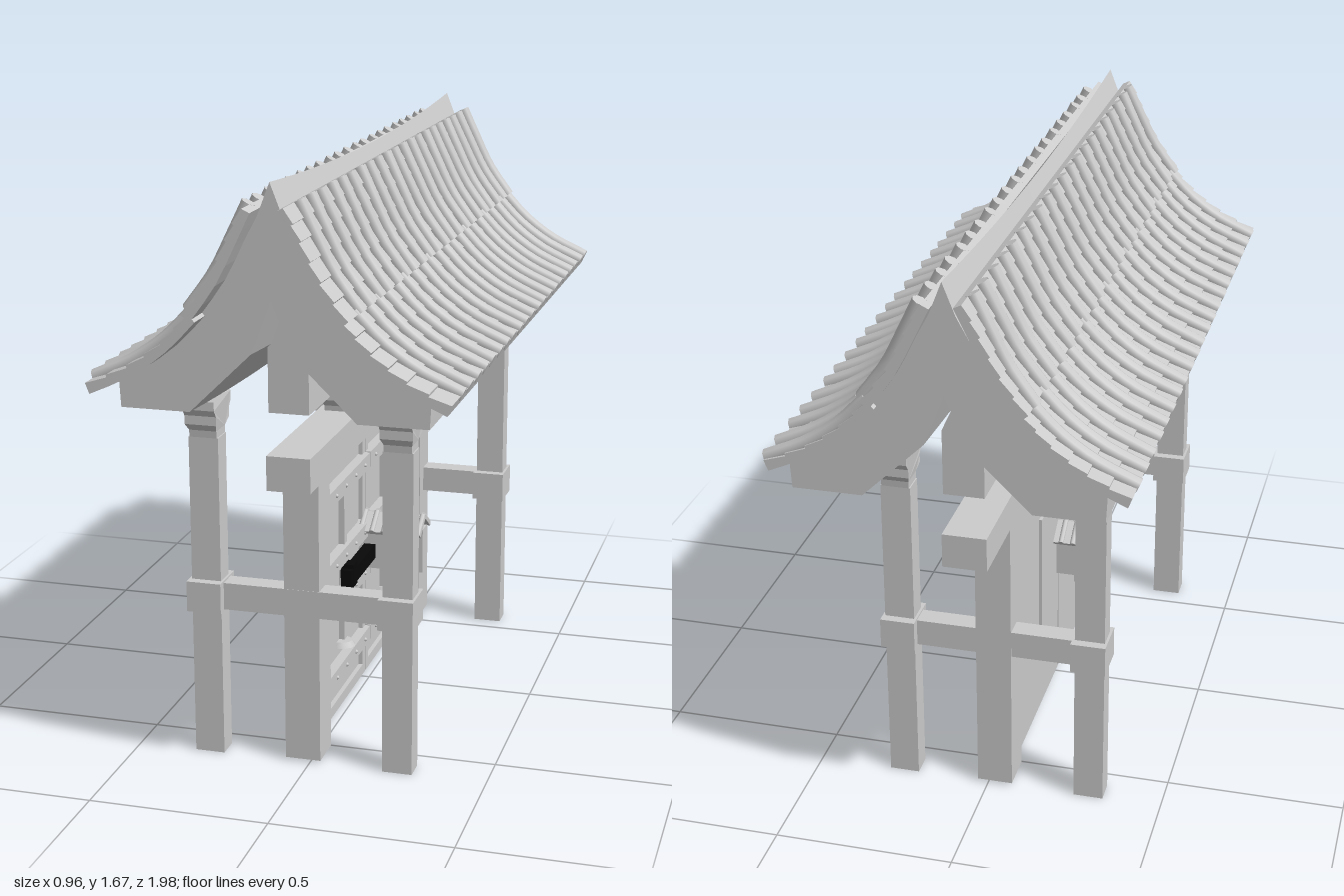
import * as THREE from 'three';

export function createModel() {
  const root = new THREE.Group();
  const grey = new THREE.MeshStandardMaterial({ color: 0xcccccc });
  grey.name = 'pale grey';
  grey.side = THREE.DoubleSide;
  const black = new THREE.MeshStandardMaterial({ color: 0x080808 });
  black.name = 'iron black';

  const add = (name, geo, mat = grey, parent = root) => {
    const m = new THREE.Mesh(geo, mat);
    m.name = name;
    parent.add(m);
    return m;
  };
  // Box given by its limits on each axis
  const box = (name, [x0, x1], [y0, y1], [z0, z1], mat = grey) => {
    const m = add(name, new THREE.BoxGeometry(x1 - x0, y1 - y0, z1 - z0), mat);
    m.position.set((x0 + x1) / 2, (y0 + y1) / 2, (z0 + z1) / 2);
    return m;
  };
  const shape = pts => new THREE.Shape(pts.map(p => new THREE.Vector2(p[0], p[1])));
  const mirrored = pts => [...pts, ...pts.slice().reverse().filter(p => p[0] !== 0).map(([x, y]) => [-x, y])];
  const extrude = (pts, z0, z1, steps = 1) => {
    const g = new THREE.ExtrudeGeometry(shape(pts), { depth: z1 - z0, steps, bevelEnabled: false });
    return g.translate(0, 0, z0);
  };

  // Gabled roof body, sagging towards the middle of its length; the outer lower edges stay straight
  const body = extrude(mirrored([
    [0, 1.67], [0.033, 1.585], [0.098, 1.465], [0.158, 1.375], [0.226, 1.295], [0.31, 1.225], [0.41, 1.17],
    [0.405, 1.075], [0.34, 1.075], [0.22, 1.075], [0.055, 1.235], [0, 1.375],
  ]), -0.97, 0.915, 16);
  const pos = body.attributes.position;
  for (let i = 0; i < pos.count; i++) {
    const t = (pos.getZ(i) + 0.027) / 0.943;
    const edge = Math.abs(pos.getX(i)) > 0.38 && pos.getY(i) < 1.1;
    if (!edge) pos.setY(i, pos.getY(i) - 0.033 * (1 - t * t));
  }
  body.computeVertexNormals();
  add('roofBody', body);

  // Tiled slopes: an upper and a lower course on each side
  const courses = [
    [[0.054, 1.618], [0.094, 1.535], [0.144, 1.437], [0.212, 1.343]],
    [[0.195, 1.348], [0.27, 1.27], [0.36, 1.205], [0.472, 1.152]],
  ];
  for (const side of [1, -1]) {
    const slope = new THREE.Group();
    slope.name = side > 0 ? 'leftTiles' : 'rightTiles';
    root.add(slope);
    const z0 = side > 0 ? -0.99 : -0.97, z1 = side > 0 ? 0.96 : 0.99;
    courses.forEach((pts, c) => {
      const curve = new THREE.CatmullRomCurve3(pts.map(([x, y]) => new THREE.Vector3(side * x, y, 0)));
      // Stepped sheet of flat tiles
      const outer = [], inner = [], rows = 6;
      const at = (t, d) => {
        const p = curve.getPoint(t), q = curve.getTangent(t);
        return [p.x - side * q.y * d, p.y + side * q.x * d];
      };
      for (let i = 0; i < rows; i++) {
        outer.push(at(i / rows, -0.007), at((i + 1) / rows - 0.005, 0));
      }
      for (let i = rows; i >= 0; i--) inner.push(at(i / rows, -0.03));
      add('flatTiles', extrude([...outer, ...inner], z0, z1), grey, slope);
      // Round tiles with closed ends
      for (let i = 0; i < 21; i++) {
        const z = (side > 0 ? -0.965 : -0.9) + i * 0.0908;
        const wob = 0.006 * Math.sin(i * 2.3 + c * 1.7 + side);
        const path = new THREE.CatmullRomCurve3(pts.map(([x, y], k) =>
          new THREE.Vector3(side * x, y, z + wob * (k - 1.5) / 1.5)));
        add('roundTile', new THREE.TubeGeometry(path, 9, 0.02, 8), grey, slope);
        for (const t of [0, 1]) {
          const cap = add('roundTileEnd', new THREE.CircleGeometry(0.02, 8), grey, slope);
          const p = path.getPoint(t);
          cap.position.copy(p);
          cap.lookAt(p.clone().addScaledVector(path.getTangent(t), t ? 1 : -1));
        }
      }
    });
  }

  // Ridge beam beneath the roof and lintel above the doors
  add('ridgeBeam', extrude(mirrored([[0, 1.34], [0.055, 1.22], [0.055, 1.04]]), -0.85, 0.75))
    .position.x = -0.01;
  box('lintel', [-0.07, 0.05], [0.83, 0.925], [-0.855, 0.76]);

  // Square flared bracket: wide along the gate, only slightly flared across it
  const bracketGeo = extrude(mirrored([
    [0.033, 0.92], [0.035, 0.94], [0.052, 0.96], [0.052, 0.985], [0.068, 1.005], [0.068, 1.03], [0.058, 1.042],
  ]), -0.045, 0.045).rotateY(Math.PI / 2);
  const bp = bracketGeo.attributes.position;
  for (let i = 0; i < bp.count; i++) {
    const y = bp.getY(i);
    if (y < 0.95 || y > 1.035) bp.setX(i, bp.getX(i) * 0.86);
  }
  bracketGeo.computeVertexNormals();
  const bracket = (x, z) => add('bracket', bracketGeo).position.set(x, 0, z);
  bracket(-0.01, 0.262);
  bracket(-0.01, -0.28);

  // Posts with tie beams at both ends of the gate
  for (const z of [0.593, -0.588]) {
    for (const x of [-0.292, 0.25]) {
      box('sidePost', [x - 0.042, x + 0.042], [0, 0.92], [z - 0.032, z + 0.032]);
      bracket(x, z);
      box('bracketBlock', [x - 0.02, x + 0.02], [1.03, 1.09], [z - 0.1, z + 0.1]);
      box('postCollar', [x - 0.049, x + 0.049], [0.425, 0.512], [z - 0.058, z + 0.058]);
    }
    box('tieBeam', [-0.29, 0.25], [0.43, 0.507], [z - 0.03, z + 0.03]);
    box('middlePost', [-0.07, 0.03], [0.008, 0.83], z > 0 ? [0.515, 0.622] : [-0.622, -0.512]);
  }

  // Double doors with frame, battens, studs and upright straps
  const studGeo = new THREE.SphereGeometry(0.006, 8, 6);
  const footGeo = new THREE.CylinderGeometry(0.03, 0.038, 0.016, 12);
  for (const s of [1, -1]) {
    const span = (a, b) => s > 0 ? [a, b] : [-b, -a];
    box('doorPanel', [-0.055, -0.025], [0.02, 0.83], span(0.004, 0.515));
    box('doorStile', [-0.03, -0.012], [0.02, 0.82], span(0.004, 0.03));
    box('doorStile', [-0.03, -0.012], [0.02, 0.82], span(0.488, 0.515));
    box('doorRail', [-0.03, -0.012], [0.02, 0.052], span(0.03, 0.488));
    box('doorRail', [-0.03, -0.012], [0.79, 0.82], span(0.03, 0.488));
    for (const y of [0.697, 0.488, 0.36, 0.147]) {
      box('batten', [-0.03, 0.004], [y - 0.023, y + 0.023], span(0.004, 0.512));
      for (let i = 0; i < 5; i++) add('stud', studGeo).position.set(0.004, y, s * (0.06 + i * 0.1));
    }
    box('strap', [-0.064, -0.008], [0.2, 0.66], span(0.215, 0.241));
    const foot = add('strapFoot', footGeo);
    foot.position.set(-0.022, 0.208, s * 0.24);
    foot.scale.x = 1.2;
    // Bolt ends
    box('boltKnob', [-0.012, 0.026], [0.39, 0.458], span(0.222, 0.264), black);
    box('boltTip', [-0.008, 0.024], [0.402, 0.446], span(0.264, 0.28), black);
  }
  box('bolt', [-0.008, 0.026], [0.397, 0.441], [-0.23, 0.23], black);

  // Small roofed box passing through the doors
  box('lockBox', [-0.19, 0.172], [0.365, 0.5], [-0.025, 0.025]);
  for (const s of [1, -1]) {
    const roof = new THREE.Group();
    roof.name = 'lockBoxRoof';
    roof.position.set(-0.009, 0.511, s * 0.032);
    roof.rotation.x = s * 0.6;
    root.add(roof);
    add('lockBoxRoofSlab', new THREE.BoxGeometry(0.366, 0.01, 0.076), grey, roof);
    const rollGeo = new THREE.CylinderGeometry(0.008, 0.008, 0.078, 8).rotateX(Math.PI / 2);
    for (let i = 0; i < 11; i++) {
      add('lockBoxRoofRoll', rollGeo, grey, roof).position.set(-0.175 + i * 0.035, 0.006, 0);
    }
  }
  return root;
}
